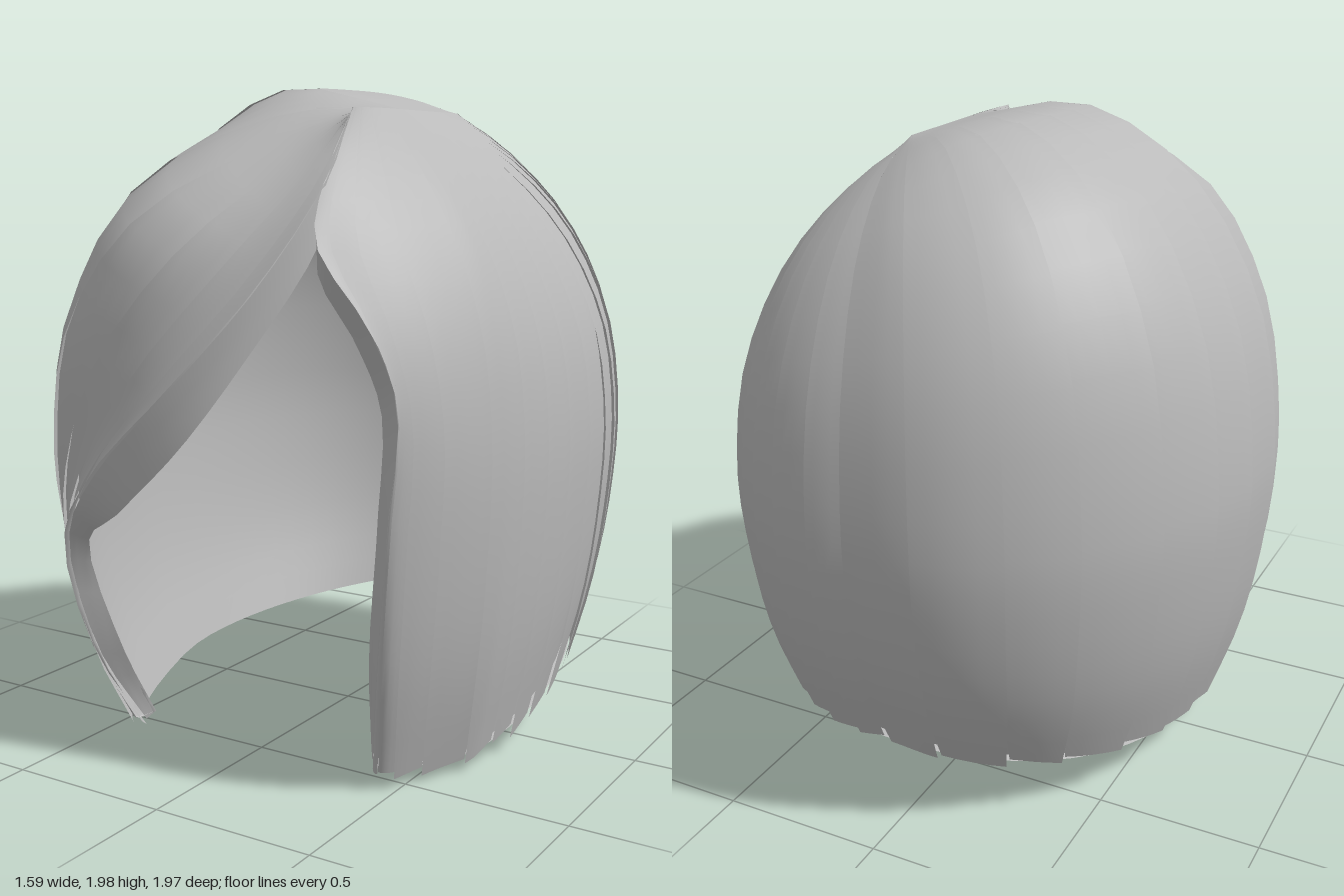
import * as THREE from 'three';

const V = (x, y, z) => new THREE.Vector3(x, y, z);
const RX = 0.775, RZ = 0.97;

// Front edge strands, from the parting down to the tip, and the rolled rim inside each
const FRINGE = [
  V(0.28, 1.91, 0.43), V(0.32, 1.68, 0.66), V(0.22, 1.42, 0.83), V(0.02, 1.16, 0.94),
  V(-0.22, 0.92, 0.96), V(-0.42, 0.68, 0.86), V(-0.45, 0.3, 0.71), V(-0.41, 0.01, 0.53),
];
const FRINGE_RIM = [
  V(0.28, 1.84, 0.42), V(0.31, 1.53, 0.66), V(0.2, 1.25, 0.83), V(0.05, 1.01, 0.93),
  V(-0.16, 0.81, 0.94), V(-0.39, 0.66, 0.81), V(-0.4, 0.3, 0.66), V(-0.4, 0.03, 0.5),
];
const CURTAIN = [
  V(0.28, 1.91, 0.43), V(0.31, 1.73, 0.61), V(0.34, 1.55, 0.71), V(0.48, 1.34, 0.69),
  V(0.56, 1.15, 0.66), V(0.53, 0.8, 0.66), V(0.47, 0.4, 0.61), V(0.39, 0.03, 0.5),
];
const CURTAIN_RIM = [
  V(0.28, 1.84, 0.42), V(0.3, 1.64, 0.58), V(0.31, 1.47, 0.66), V(0.42, 1.28, 0.64),
  V(0.48, 1.1, 0.61), V(0.47, 0.8, 0.61), V(0.42, 0.4, 0.57), V(0.37, 0.06, 0.47),
];
// Each half sweeps from its front edge round to the middle of the back
const HALVES = {
  right: { edge: FRINGE, rim: FRINGE_RIM, from: 122, to: 275, blend: 0.33, locks: 13, spread: 1.45 },
  left: { edge: CURTAIN, rim: CURTAIN_RIM, from: 50, to: -85, blend: 0.2, locks: 18, spread: 1.1 },
};
for (const half of Object.values(HALVES)) half.rimCurve = new THREE.CatmullRomCurve3(half.rim);

function seeded(seed) {
  return () => {
    seed = (seed * 16807) % 2147483647;
    return seed / 2147483647;
  };
}

const roundness = (x, z) =>
  Math.pow(Math.abs(x) / RX, x > 0 ? 1.65 : 2.1) + Math.pow(Math.abs(z) / RZ, z > 0 ? 2.55 : 2.8);
const taper = (t, x) =>
  1 - (0.185 - 0.03 * THREE.MathUtils.clamp(x / 0.4, -1, 1)) * Math.pow(t, 2.2);

// Strand falling from the parting over the head towards one bearing
function plainStrand(deg) {
  const a = THREE.MathUtils.degToRad(deg);
  const root = V(0.28, 0, 0.125 + 0.325 * Math.sin(a));
  // The head is fuller at the back left and front right
  const full = 1 + Math.max(0, -Math.sin(2 * a)) * (Math.cos(a) > 0 ? 0.06 : 0.04);
  const rim = V(RX * Math.cos(a) * full, 0, RZ * Math.sin(a) * full);
  const rimQ = roundness(rim.x, rim.z);
  const points = [];
  for (let k = 0; k <= 4; k++) {
    const s = Math.sin((k / 4) * Math.PI / 2);
    const p = root.clone().lerp(rim, s);
    const q = roundness(p.x, p.z) / (1 + (rimQ - 1) * s * s);
    p.y = k === 0 ? 1.915 : 1 + Math.sqrt(Math.max(0, 1 - q));
    points.push(p);
  }
  const tip = Math.max(0.02, 0.08 - 0.15 * rim.z + 0.1 * rim.x * Math.max(0, -rim.z));
  for (let k = 1; k <= 3; k++) {
    const t = k / 3, f = taper(t, rim.x);
    points.push(V(rim.x * f, 1 + (tip - 1) * t, rim.z * f));
  }
  return points;
}

// Blend the plain strands into the shaped front edge, keeping them on the head
function strand(half, u) {
  const w = Math.max(0, 1 - u / half.blend);
  const points = plainStrand(half.from + (half.to - half.from) * u).map((p, i) => {
    p.lerp(half.edge[i], w);
    if (w > 0 && i > 1) {
      const want = p.y > 1 ? 1 - (p.y - 1) ** 2 : taper((1 - p.y) / 0.95, p.x) ** 2.2;
      const f = Math.pow(want / roundness(p.x, p.z), 1 / 2.2);
      const k = 1 + (f - 1) * Math.min(1, 4 * w * (1 - w));
      p.x *= k;
      p.z *= k;
    }
    return p;
  });
  return new THREE.CatmullRomCurve3(points);
}

// Inside of the hair, thinner towards the hem, running out into the rolled rim
function inset(half, u, v, p) {
  const w = Math.max(0, 1 - u / half.blend);
  const f = 0.94 + 0.03 * v;
  const inner = V(p.x * f, p.y > 1 ? 1 + (p.y - 1) * 0.955 : p.y + 0.005, p.z * f);
  return inner.lerp(half.rimCurve.getPoint(v), w * w);
}

// Smooth sheet through a grid of points
function sheet(columns, flip) {
  const rows = columns[0].length, pos = [], index = [];
  columns.forEach((c) => c.forEach((p) => pos.push(p.x, p.y, p.z)));
  for (let i = 0; i < columns.length - 1; i++) {
    for (let j = 0; j < rows - 1; j++) {
      const a = i * rows + j, b = a + 1, c = a + rows, d = c + 1;
      if (flip) index.push(a, c, b, b, c, d);
      else index.push(a, b, c, c, b, d);
    }
  }
  const g = new THREE.BufferGeometry();
  g.setAttribute('position', new THREE.Float32BufferAttribute(pos, 3));
  g.setIndex(index);
  g.computeVertexNormals();
  return g;
}

const steps = (n) => Array.from({ length: n + 1 }, (_, i) => i / n);

export function createModel() {
  const model = new THREE.Group();
  model.name = 'bobHair';
  const hair = new THREE.MeshStandardMaterial({ color: 0xbababa, side: THREE.DoubleSide });
  hair.name = 'hairGrey';
  const random = seeded(77);

  for (const [name, half] of Object.entries(HALVES)) {
    const group = new THREE.Group();
    group.name = name + 'Half';
    model.add(group);
    const add = (part, columns) => {
      const mesh = new THREE.Mesh(sheet(columns, name === 'left'), hair);
      mesh.name = part;
      group.add(mesh);
    };

    // Overlapping locks: the front side of each lies over the one before
    const bounds = steps(half.locks).map((t, i) => {
      const wobble = i > 0 && i < half.locks ? (random() - 0.5) * 0.35 / half.locks : 0;
      return Math.pow(t, half.spread) + wobble * t;
    });
    for (let i = 0; i < half.locks; i++) {
      const u0 = bounds[i], u1 = Math.min(1, bounds[i + 1] + 0.008);
      const length = 0.985 + random() * 0.015, slant = random() * 0.012;
      const columns = steps(4).map((s) =>
        steps(20).map((t) => {
          const v = t * (length - slant * s);
          // Tips draw in a little, leaving notches in the hem
          const pinch = 1 - 0.12 * Math.max(0, (t - 0.88) / 0.12);
          const sideways = i === 0 ? s * pinch : 0.5 + (s - 0.5) * pinch;
          const p = strand(half, u0 + (u1 - u0) * sideways).getPoint(v);
          const lift = 1 + (0.013 * (1 - s) + 0.003) * Math.min(1, v * 5);
          return V(p.x * lift, p.y, p.z * lift);
        }));
      add('lock' + (i + 1), columns);
    }

    // Smooth lining
    const across = steps(28), down = steps(24);
    add('lining', across.map((u) => {
      const c = strand(half, u);
      return down.map((v) => inset(half, u, v * 0.99, c.getPoint(v * 0.99)));
    }));

    // Rolled front edge joining locks and lining
    const front = strand(half, 0);
    add('frontRim', steps(3).map((s) => down.map((v) => {
      const p = front.getPoint(v * 0.99);
      return p.clone().lerp(inset(half, 0, v * 0.99, p), s);
    })));

    // Hem joining locks and lining underneath
    add('hem', across.map((u) => {
      const p = strand(half, u).getPoint(0.985);
      return [p, inset(half, u, 0.99, p)];
    }));
  }
  return model;
}
